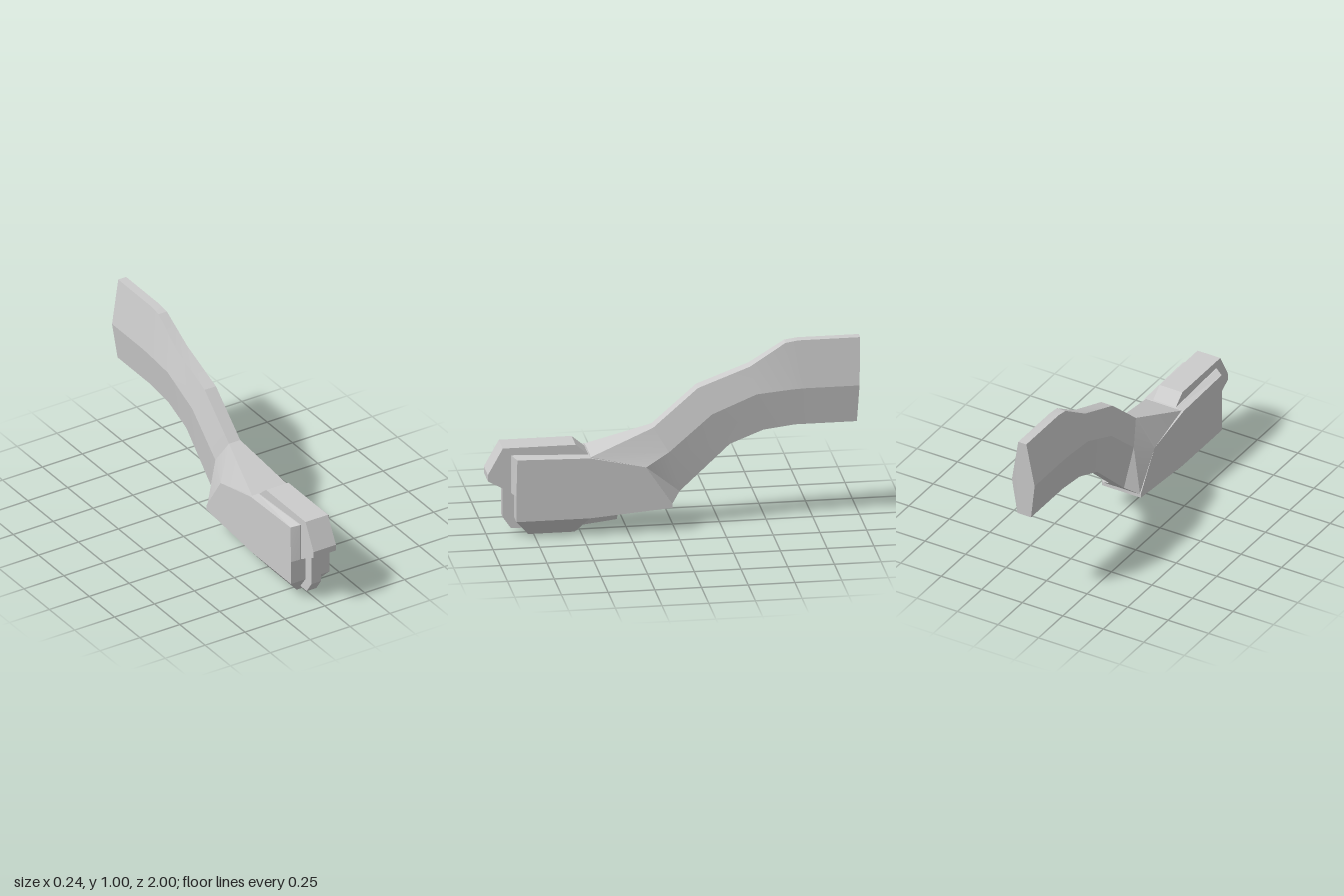
import * as THREE from 'three';
import { toCreasedNormals } from 'three/addons/utils/BufferGeometryUtils.js';

// Closed solid through equal-length loops of [x, y, z]; faces are turned outward.
function loft(loops, crease = 0.3) {
  const tris = [];
  const n = loops[0].length;
  for (let s = 0; s < loops.length - 1; s++) {
    for (let i = 0; i < n; i++) {
      const j = (i + 1) % n;
      const [a, b, c, d] = [loops[s][i], loops[s][j], loops[s + 1][j], loops[s + 1][i]];
      tris.push([a, b, c], [a, c, d]);
    }
  }
  const last = loops[loops.length - 1];
  for (let i = 1; i < n - 1; i++) {
    tris.push([loops[0][0], loops[0][i + 1], loops[0][i]], [last[0], last[i], last[i + 1]]);
  }
  const v = (p) => new THREE.Vector3(...p);
  const volume = tris.reduce((sum, [a, b, c]) => sum + v(a).dot(v(b).cross(v(c))), 0);
  if (volume < 0) tris.forEach((t) => t.reverse());
  const geo = new THREE.BufferGeometry();
  geo.setAttribute('position', new THREE.Float32BufferAttribute(tris.flat(2), 3));
  return toCreasedNormals(geo, crease);
}

// Side profile of [z, y] points placed at a given x
const sideLoop = (x, profile) => profile.map(([z, y]) => [x, y, z]);
const plate = (halfWidth, profile) => loft([sideLoop(-halfWidth, profile), sideLoop(halfWidth, profile)]);

export function createModel() {
  const group = new THREE.Group();
  const material = new THREE.MeshStandardMaterial({ color: 0xcccccc });
  const add = (name, geo) => {
    const mesh = new THREE.Mesh(geo, material);
    mesh.name = name;
    group.add(mesh);
  };

  // Housing: flat cheeks with slightly bevelled top and front edges
  const rear = [[0.16, 0.37], [0.02, 0.16], [0.02, 0.135], [0.46, 0.1], [0.855, 0.1]];
  const outer = [[0.855, 0.235], [0.855, 0.245], [0.85, 0.447], [0.46, 0.437], ...rear];
  const inner = [[0.855, 0.235], [0.875, 0.247], [0.875, 0.46], [0.46, 0.442], ...rear];
  add('housing', loft([
    sideLoop(-0.12, outer), sideLoop(-0.075, inner), sideLoop(0.075, inner), sideLoop(0.12, outer),
  ], 0.1));

  // Raised block on top, overhanging the front
  add('topBlock', plate(0.07, [
    [1, 0.355], [1, 0.32], [0.86, 0.24], [0.5, 0.24], [0.46, 0.44], [0.53, 0.5], [0.92, 0.5],
  ]));

  // Narrow rib down the front
  add('frontRib', plate(0.03, [
    [0.915, 0.28], [0.915, 0.1], [0.87, 0.035], [0.7, 0.035], [0.7, 0.28],
  ]));

  // Tapered keel under the housing
  const rect = (w, y, z0, z1) => [[-w, y, z0], [w, y, z0], [w, y, z1], [-w, y, z1]];
  add('keel', loft([rect(0.12, 0.1, 0.46, 0.855), rect(0.037, 0, 0.53, 0.78)]));

  // Small wedge trailing behind the keel
  const wedge = (z, top, bottom, w) => [[-w, top, z], [w, top, z], [0.015, bottom, z], [-0.015, bottom, z]];
  add('keelTail', loft([wedge(0.3, 0.12, 0.05, 0.045), wedge(0.56, 0.12, 0.02, 0.06)]));

  // Curved handle: each station is [z, y, half width] at the top, middle and bottom
  const stations = [
    [[0.455, 0.44, 0.11], [0.16, 0.37, 0.12], [0.02, 0.155, 0.115]],
    [[0.11, 0.56, 0.035], [0.03, 0.43, 0.07], [-0.03, 0.2, 0.045]],
    [[-0.13, 0.77, 0.035], [-0.2, 0.63, 0.07], [-0.3, 0.45, 0.042]],
    [[-0.41, 0.875, 0.034], [-0.44, 0.73, 0.07], [-0.48, 0.52, 0.042]],
    [[-0.6, 0.995, 0.026], [-0.63, 0.747, 0.07], [-0.65, 0.54, 0.042]],
    [[-0.67, 1.005, 0.025], [-0.7, 0.75, 0.07], [-0.7, 0.54, 0.042]],
    [[-1, 1.005, 0.025], [-0.99, 0.75, 0.07], [-0.98, 0.54, 0.042]],
  ];
  add('handle', loft(stations.map((s) => [
    ...s.map(([z, y, w]) => [w, y, z]),
    ...[...s].reverse().map(([z, y, w]) => [-w, y, z]),
  ])));

  return group;
}
